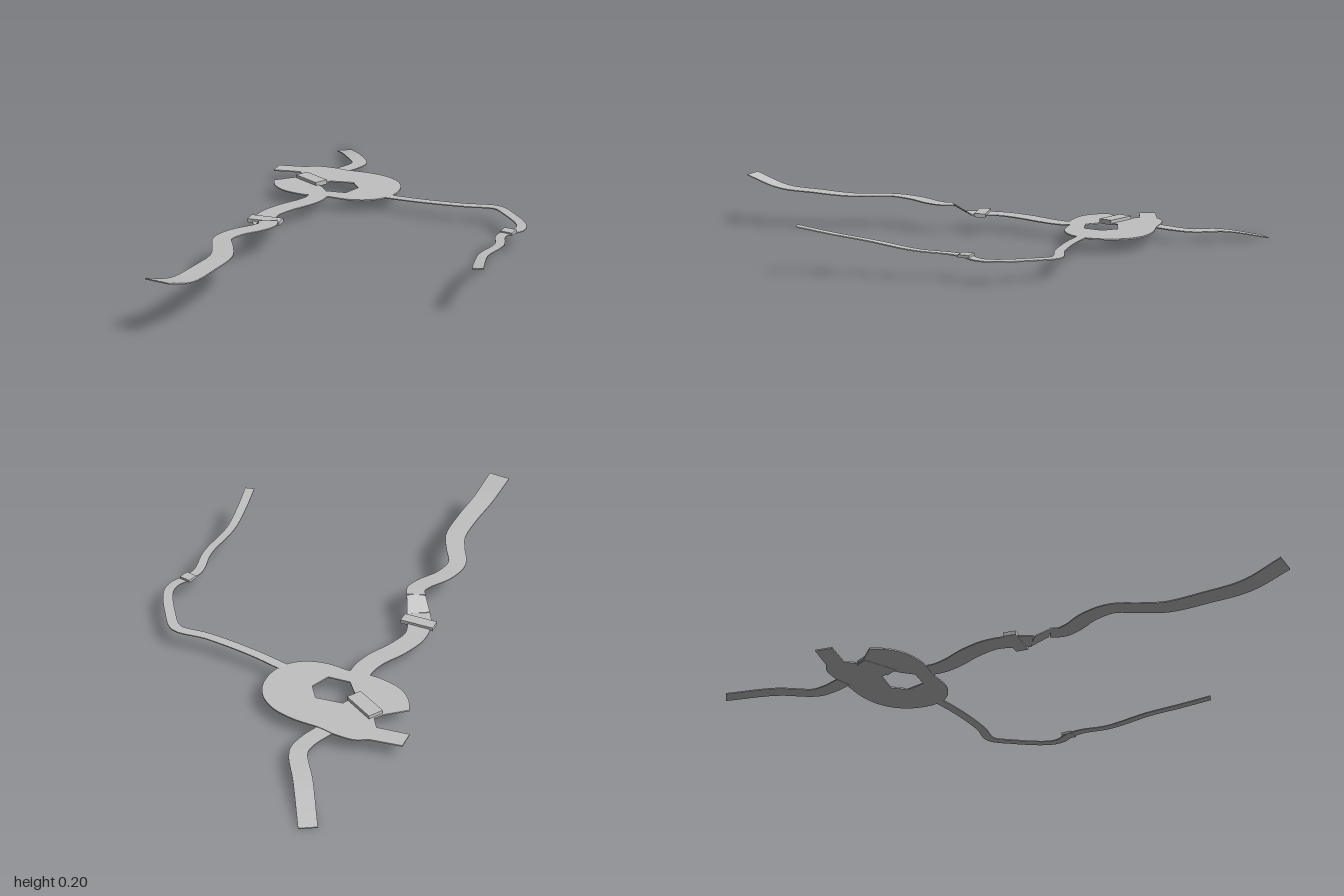
import * as THREE from 'three';

const paving = new THREE.MeshStandardMaterial({ color: 0xc0c0c0 });
paving.name = 'grey paving';

// Thin solid ribbon through stations [x, y, z, width], with y the top surface
function ribbon(name, stations, thick = 0.004, per = 5) {
  const n = stations.length - 1, steps = n * per;
  const curve = new THREE.CatmullRomCurve3(stations.map(s => new THREE.Vector3(s[0], s[1], s[2])));
  const pos = [], idx = [];
  for (let i = 0; i <= steps; i++) {
    const t = i / steps, p = curve.getPoint(t), d = curve.getTangent(t);
    const k = Math.min(n - 1, Math.floor(t * n)), f = t * n - k;
    const w = THREE.MathUtils.lerp(stations[k][3], stations[k + 1][3], f) / 2;
    const len = Math.hypot(d.x, d.z), rx = -d.z / len * w, rz = d.x / len * w;
    pos.push(p.x - rx, p.y, p.z - rz, p.x + rx, p.y, p.z + rz,
      p.x + rx, p.y - thick, p.z + rz, p.x - rx, p.y - thick, p.z - rz);
    if (i === steps) break;
    for (let c = 0; c < 4; c++) {
      const a = i * 4 + c, b = i * 4 + (c + 1) % 4;
      idx.push(a, b, b + 4, a, b + 4, a + 4);
    }
  }
  const e = steps * 4;
  idx.push(0, 3, 2, 0, 2, 1, e, e + 1, e + 2, e, e + 2, e + 3);
  const indexed = new THREE.BufferGeometry();
  indexed.setAttribute('position', new THREE.Float32BufferAttribute(pos, 3));
  indexed.setIndex(idx);
  const geo = indexed.toNonIndexed();
  geo.computeVertexNormals();
  const mesh = new THREE.Mesh(geo, paving);
  mesh.name = name;
  return mesh;
}

// Flat slab crossing a path
function slab(name, w, h, d, x, y, z, turn = 0) {
  const mesh = new THREE.Mesh(new THREE.BoxGeometry(w, h, d), paving);
  mesh.name = name;
  mesh.position.set(x, y, z);
  mesh.rotation.y = turn;
  return mesh;
}

// Ring-shaped plaza with a stub on its left and a faceted hole
function plaza() {
  const v = ([x, z]) => new THREE.Vector2(x, -z);
  const shape = new THREE.Shape();
  shape.moveTo(-0.56, -0.566);
  shape.setFromPoints([[-0.56, -0.566], [-0.56, -0.503], [-0.45, -0.515], [-0.425, -0.475],
    [-0.445, -0.444], [-0.513, -0.387]].map(v));
  shape.splineThru([[-0.487, -0.333], [-0.44, -0.291], [-0.376, -0.27], [-0.323, -0.265],
    [-0.249, -0.27], [-0.159, -0.265], [-0.085, -0.286], [-0.032, -0.333], [-0.011, -0.397],
    [-0.016, -0.466], [-0.048, -0.524], [-0.106, -0.566], [-0.185, -0.587], [-0.28, -0.592],
    [-0.339, -0.603], [-0.407, -0.603], [-0.45, -0.582]].map(v));
  shape.lineTo(-0.56, 0.566);
  shape.holes.push(new THREE.Path([[-0.3, -0.444], [-0.206, -0.455], [-0.169, -0.402],
    [-0.196, -0.333], [-0.275, -0.328], [-0.307, -0.37], [-0.325, -0.385]].map(v)));
  const geo = new THREE.ExtrudeGeometry(shape, { depth: 0.005, bevelEnabled: false, curveSegments: 40 });
  geo.rotateX(-Math.PI / 2);
  const mesh = new THREE.Mesh(geo, paving);
  mesh.name = 'plaza';
  mesh.position.y = 0.049;
  return mesh;
}

export function createModel() {
  const group = new THREE.Group();
  group.name = 'pathNetwork';
  group.add(plaza());

  // Winding main road, from the front end back to the plaza
  group.add(ribbon('frontRoadUpper', [
    [-0.34, 0.2, 0.99, 0.086], [-0.32, 0.155, 0.86, 0.08], [-0.307, 0.143, 0.72, 0.077],
    [-0.307, 0.133, 0.59, 0.075], [-0.337, 0.129, 0.51, 0.07], [-0.376, 0.124, 0.42, 0.065],
    [-0.358, 0.118, 0.335, 0.065], [-0.31, 0.113, 0.26, 0.064], [-0.295, 0.111, 0.215, 0.065],
    [-0.308, 0.11, 0.182, 0.068]]));
  group.add(ribbon('ramp', [[-0.308, 0.11, 0.182, 0.068], [-0.34, 0.071, 0.13, 0.082]], 0.004, 1));
  group.add(ribbon('frontRoadLower', [
    [-0.34, 0.071, 0.13, 0.082], [-0.366, 0.067, 0.075, 0.085], [-0.378, 0.064, 0, 0.075],
    [-0.35, 0.061, -0.09, 0.075], [-0.305, 0.058, -0.175, 0.073], [-0.287, 0.055, -0.235, 0.072],
    [-0.287, 0.054, -0.29, 0.072]]));
  group.add(slab('roadCrossing', 0.122, 0.014, 0.044, -0.361, 0.068, 0.078));

  // Short path leaving the back of the plaza
  group.add(ribbon('backPath', [
    [-0.305, 0.052, -0.59, 0.06], [-0.275, 0.049, -0.665, 0.058], [-0.27, 0.046, -0.72, 0.06],
    [-0.34, 0.038, -0.835, 0.062], [-0.427, 0.004, -0.985, 0.06]]));

  // Narrow path out to the left, bending toward the front
  group.add(ribbon('sidePath', [
    [-0.04, 0.054, -0.345, 0.037], [0.1, 0.06, -0.321, 0.035], [0.28, 0.067, -0.308, 0.034],
    [0.4, 0.07, -0.313, 0.037], [0.46, 0.074, -0.25, 0.037], [0.533, 0.08, -0.135, 0.036],
    [0.536, 0.082, -0.08, 0.036], [0.507, 0.087, -0.03, 0.036], [0.495, 0.091, 0.025, 0.035],
    [0.515, 0.102, 0.13, 0.033], [0.5, 0.125, 0.29, 0.033], [0.515, 0.146, 0.41, 0.035],
    [0.537, 0.172, 0.527, 0.037]]));
  group.add(slab('sideCrossing', 0.045, 0.01, 0.04, 0.508, 0.088, -0.033, -0.2));

  // Slab bridging the plaza beside the hole
  group.add(slab('plazaCrossing', 0.125, 0.018, 0.055, -0.372, 0.057, -0.43, -0.55));
  return group;
}
